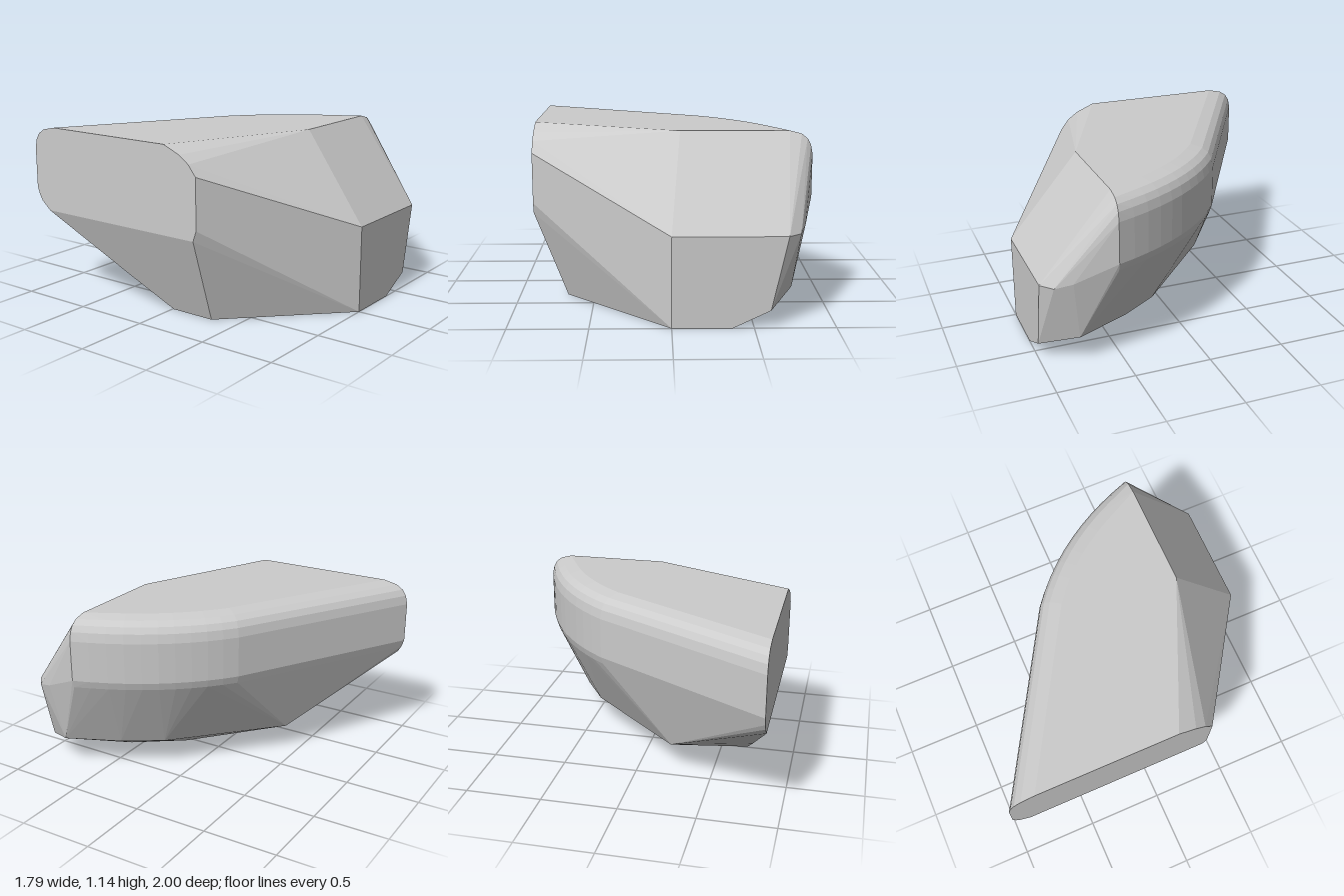
import * as THREE from 'three';
import { ConvexGeometry } from 'three/addons/geometries/ConvexGeometry.js';

export function createModel() {
  const group = new THREE.Group();
  const points = [];
  const add = (...list) => list.forEach(p => points.push(new THREE.Vector3(...p)));

  // Curved back wall: [height, inset] profile with rounded upper and lower rims
  const rim = [[0.67, 0.015], [0.72, 0], [0.99, 0], [1.05, 0.012], [1.09, 0.035], [1.12, 0.075], [1.14, 0.155]];
  const arc = new THREE.QuadraticBezierCurve(
    new THREE.Vector2(0.28, -0.32), new THREE.Vector2(0.70, -0.01), new THREE.Vector2(0.893, 0.555));
  const steps = 10;
  for (const [y, inset] of rim) {
    add([-0.893, y, -1 + inset * 1.15]);
    for (let i = 0; i <= steps; i++) {
      const p = arc.getPoint(i / steps);
      const t = arc.getTangent(i / steps);
      add([p.x - t.y * inset, y, Math.min(0.555, p.y + t.x * inset)]);
    }
  }

  // Flat left end: lower back corner and rounded front edge
  add([-0.893, 0.63, -0.96], [-0.893, 0.57, -0.89]);
  add([-0.893, 0.57, 0.35], [-0.893, 0.64, 0.375], [-0.893, 0.97, 0.375],
    [-0.893, 1.04, 0.32], [-0.893, 1.09, 0.25], [-0.893, 1.14, 0.13]);

  // Sloped front and upright nose
  add([0.06, 1.14, 0.555], [0, 0.57, 1], [0.7, 0.57, 1], [0.6, 0.11, 1]);
  add([0.78, 0.57, 0.93], [0.82, 0.6, 0.82]);

  // Ledge above the base chamfer
  add([0.75, 0.19, 0.77], [0.59, 0.19, 0.42], [0.43, 0.19, 0.17], [-0.22, 0.18, -0.42], [-0.75, 0.19, -0.3]);

  // Flat underside
  add([0, 0, 1], [0.37, 0, 1], [0.27, 0, 0.57], [0.04, 0, 0.25], [-0.25, 0, 0.05],
    [-0.45, 0, -0.02], [-0.68, 0, 0.01], [-0.68, 0, 0.32]);

  const body = new THREE.Mesh(
    new ConvexGeometry(points),
    new THREE.MeshStandardMaterial({ color: 0xcccccc, flatShading: true }));
  body.name = 'facetedBody';
  group.add(body);
  return group;
}
